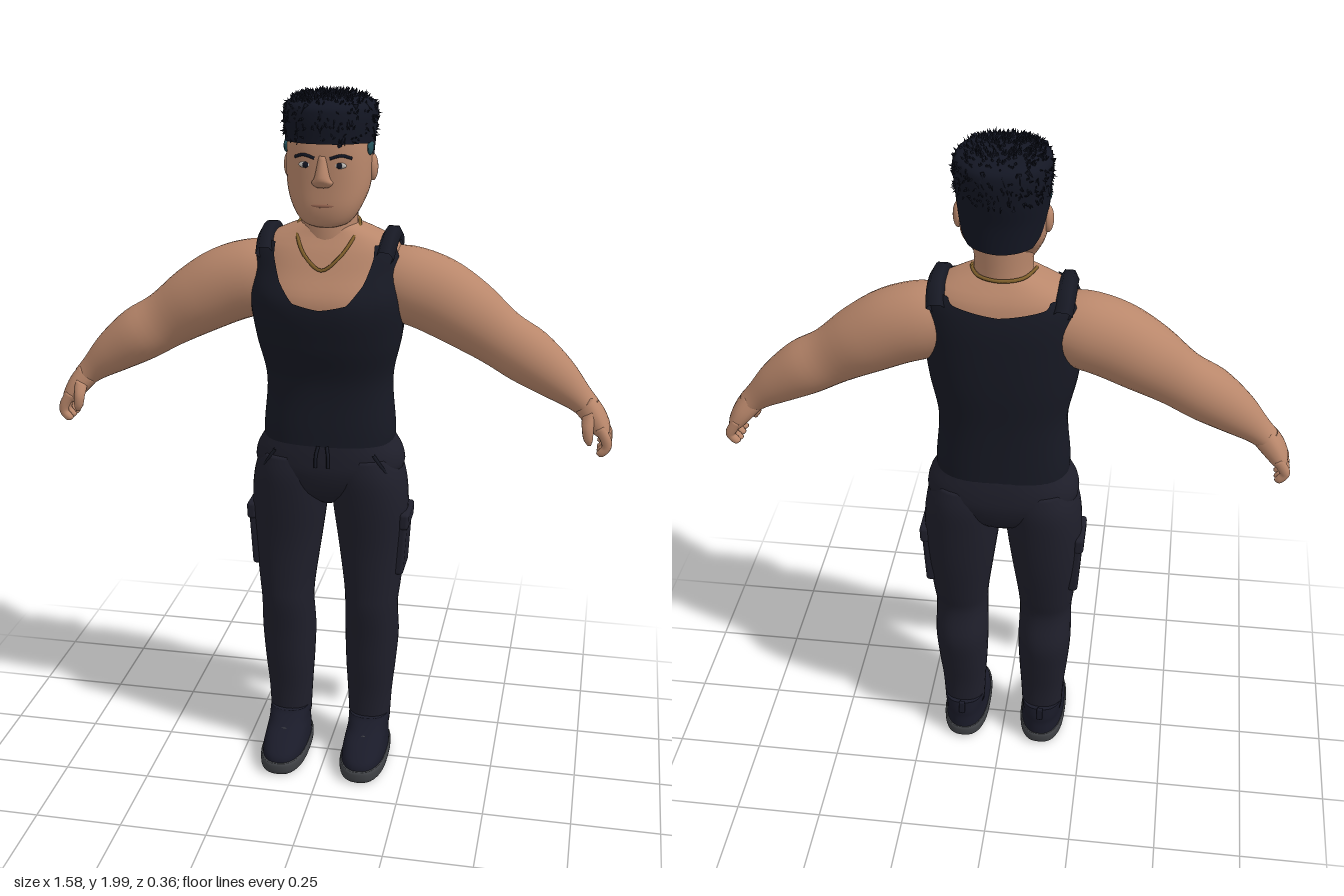
import * as THREE from 'three';
import { mergeGeometries } from 'three/addons/utils/BufferGeometryUtils.js';
import { RoundedBoxGeometry } from 'three/addons/geometries/RoundedBoxGeometry.js';

const mat = (name, color) => new THREE.MeshStandardMaterial({ name, color, side: THREE.DoubleSide });
const M = {
  skin: mat('skin', 0xb9876b), tank: mat('tank fabric', 0x171924), pants: mat('trouser fabric', 0x1f1f2b),
  hair: mat('hair', 0x131623), shoe: mat('shoe fabric', 0x1a1b29), sole: mat('sole rubber', 0x404246),
  gold: mat('gold', 0x80602c), white: mat('eye white', 0xc9c4bf), lip: mat('lip', 0x9a6853), teal: mat('teal', 0x24505a),
};
const RAD = Math.PI / 180;
const pw = (v, n) => Math.sign(v) * Math.abs(v) ** (2 / n);

function mesh(parent, name, geo, material) {
  const m = new THREE.Mesh(geo, material);
  m.name = name;
  parent.add(m);
  return m;
}

// Turns rows of points into a surface closed around, optionally capped at the ends
function skinRows(rows, capped) {
  const k = rows[0].length, pos = rows.flat(2), idx = [];
  for (let i = 0; i < rows.length - 1; i++) for (let j = 0; j < k; j++) {
    const a = i * k + j, b = i * k + (j + 1) % k;
    idx.push(a, b, b + k, a, b + k, a + k);
  }
  if (capped) [0, rows.length - 1].forEach((r) => {
    const c = pos.length / 3;
    for (let d = 0; d < 3; d++) pos.push(rows[r].reduce((s, p) => s + p[d], 0) / k);
    for (let j = 0; j < k; j++) {
      const a = r * k + j, b = r * k + (j + 1) % k;
      if (r) idx.push(a, b, c); else idx.push(b, a, c);
    }
  });
  const g = new THREE.BufferGeometry();
  g.setAttribute('position', new THREE.Float32BufferAttribute(pos, 3));
  g.setIndex(idx);
  g.computeVertexNormals();
  return g;
}

// Loft through sections [x, y, z, half width, half depth, heading in degrees = 90 (up)]
function loft(sections, n = 2, sides = 24, steps = 4) {
  const s = sections.map((q) => [...q.slice(0, 5), q[5] ?? 90]);
  const at = (i) => s[Math.min(Math.max(i, 0), s.length - 1)], rows = [];
  for (let i = 0; i < s.length - 1; i++) {
    for (let e = 0; e < steps + (i === s.length - 2 ? 1 : 0); e++) {
      const t = e / steps;
      const v = s[0].map((_, c) => {
        const [p, a, b, q] = [at(i - 1)[c], at(i)[c], at(i + 1)[c], at(i + 2)[c]];
        return a + 0.5 * t * (b - p + t * (2 * p - 5 * a + 4 * b - q + t * (3 * (a - b) + q - p)));
      });
      const tilt = (v[5] - 90) * RAD;
      rows.push(Array.from({ length: sides }, (_, j) => {
        const w = j / sides * Math.PI * 2, u = v[3] * pw(Math.sin(w), n);
        return [v[0] + u * Math.cos(tilt), v[1] + u * Math.sin(tilt), v[2] + v[4] * pw(Math.cos(w), n)];
      }));
    }
  }
  return skinRows(rows, true);
}

// Smooth lookup in an upright profile of [y, half width, z centre, half depth]
function sample(prof, y) {
  let i = 0;
  while (i < prof.length - 2 && y > prof[i + 1][0]) i++;
  const at = (k) => prof[Math.min(Math.max(k, 0), prof.length - 1)];
  const h = at(i + 1)[0] - at(i)[0], t = (y - at(i)[0]) / h;
  const slope = (k, c) => (at(k + 1)[c] - at(k - 1)[c]) / (at(k + 1)[0] - at(k - 1)[0]);
  return [1, 2, 3].map((c) => at(i)[c] * (1 + 2 * t) * (1 - t) ** 2 + h * slope(i, c) * t * (1 - t) ** 2
    + at(i + 1)[c] * t * t * (3 - 2 * t) + h * slope(i + 1, c) * t * t * (t - 1));
}

// Edge height by angle from the front, mirrored left to right
const edge = (table) => (w) => {
  const d = Math.abs(((w / RAD + 180) % 360) - 180);
  let i = 0;
  while (i < table.length - 2 && d > table[i + 1][0]) i++;
  const [[a, y0], [b, y1]] = [table[i], table[i + 1]];
  return y0 + (y1 - y0) * (d - a) / (b - a);
};

// Shell on a profile, between a lower and an upper edge
function shell(prof, lo, hi, grow, n, sides = 120, count = 36) {
  const rows = [];
  for (let i = 0; i <= count; i++) rows.push(Array.from({ length: sides }, (_, j) => {
    const w = j / sides * Math.PI * 2, y = lo(w) + (hi(w) - lo(w)) * i / count, [a, z, b] = sample(prof, y);
    return [(a + grow) * pw(Math.sin(w), n), y, z + (b + grow) * pw(Math.cos(w), n)];
  }));
  return skinRows(rows, false);
}

const tube = (pts, r, closed = false) => new THREE.TubeGeometry(
  new THREE.CatmullRomCurve3(pts.map((p) => new THREE.Vector3(...p)), closed), closed ? 64 : 12, r, 6, closed);

function blob(parent, name, material, p, s) {
  const m = mesh(parent, name, new THREE.SphereGeometry(1, 20, 12), material);
  m.position.set(...p);
  m.scale.set(...s);
  return m;
}

function block(parent, name, material, size, p, rot = [0, 0, 0]) {
  const m = mesh(parent, name, new RoundedBoxGeometry(...size, 2, Math.min(...size) * 0.35), material);
  m.position.set(...p);
  m.rotation.set(...rot);
  return m;
}

const TORSO = [[1.0, 0.18, -0.04, 0.112], [1.05, 0.183, -0.04, 0.112], [1.2, 0.173, -0.04, 0.115], [1.32, 0.197, -0.028, 0.136],
  [1.44, 0.212, -0.02, 0.146], [1.52, 0.207, -0.036, 0.127], [1.58, 0.195, -0.043, 0.107], [1.61, 0.15, -0.042, 0.088], [1.64, 0.075, -0.035, 0.07]];
const HAIR = [[1.71, 0.1, -0.042, 0.105], [1.8, 0.114, -0.037, 0.117], [1.87, 0.12, -0.042, 0.127],
  [1.935, 0.123, -0.044, 0.13], [1.96, 0.108, -0.044, 0.114], [1.972, 0.06, -0.044, 0.064], [1.975, 0.002, -0.044, 0.002]];

function buildHead(g) {
  mesh(g, 'neck', loft([[0, 1.58, -0.035, 0.085, 0.08], [0, 1.64, -0.032, 0.077, 0.077], [0, 1.73, -0.035, 0.08, 0.075]]), M.skin);
  mesh(g, 'head', loft([[0, 1.637, 0.015, 0.035, 0.035], [0, 1.65, 0.01, 0.066, 0.056], [0, 1.69, 0, 0.093, 0.076], [0, 1.75, -0.025, 0.112, 0.101],
    [0, 1.85, -0.032, 0.112, 0.108], [0, 1.93, -0.035, 0.1, 0.1]], 2.4, 40), M.skin);
  mesh(g, 'nose', loft([[0, 1.748, 0.07, 0.018, 0.012], [0, 1.76, 0.074, 0.029, 0.019], [0, 1.777, 0.076, 0.02, 0.022],
    [0, 1.83, 0.07, 0.01, 0.01]]), M.skin);
  blob(g, 'mouth', M.lip, [0, 1.7, 0.072], [0.033, 0.007, 0.006]);
  for (const s of [-1, 1]) {
    blob(g, 'ear', M.skin, [s * 0.114, 1.785, -0.045], [0.014, 0.036, 0.022]);
    blob(g, 'eye', M.white, [s * 0.046, 1.806, 0.07], [0.018, 0.008, 0.005]);
    blob(g, 'iris', M.hair, [s * 0.045, 1.806, 0.073], [0.008, 0.008, 0.004]);
    mesh(g, 'eyebrow', tube([[s * 0.02, 1.824, 0.074], [s * 0.05, 1.832, 0.071], [s * 0.075, 1.824, 0.058]], 0.0045), M.hair);
    blob(g, 'templePatch', M.teal, [s * 0.112, 1.842, -0.015], [0.008, 0.02, 0.03]);
  }
  // Hair: one shell with a low back, covered in short spikes
  const lo = edge([[0, 1.862], [50, 1.86], [75, 1.855], [86, 1.82], [100, 1.815], [112, 1.76], [130, 1.735], [180, 1.728]]);
  mesh(g, 'hair', shell(HAIR, lo, () => 1.975, 0, 2.2, 72, 40), M.hair);
  let seed = 7;
  const rnd = () => (seed = (seed * 16807) % 2147483647) / 2147483647;
  const cones = [], up = new THREE.Vector3(0, 1, 0);
  for (let i = 0; i < 620; i++) {
    const w = rnd() * Math.PI * 2, top = i < 330, r = Math.sqrt(rnd()) * 0.95, y = 1.865 + rnd() * 0.085;
    const [a, z, b] = top ? [0.118 * r, -0.044, 0.122 * r] : sample(HAIR, y);
    const h = 0.018 + rnd() * 0.014;
    const dir = new THREE.Vector3(Math.sin(w) * (top ? r * 0.6 : 0.45) + rnd() * 0.6 - 0.3,
      top ? 0.9 : rnd() * 1.8 - 0.9, Math.cos(w) * (top ? r * 0.6 : 0.45) + rnd() * 0.6 - 0.3).normalize();
    const c = new THREE.ConeGeometry(0.007, h, 4);
    c.applyQuaternion(new THREE.Quaternion().setFromUnitVectors(up, dir));
    const py = top ? 1.975 - 0.025 * r ** 4 : y;
    cones.push(c.translate(a * pw(Math.sin(w), 2.2) * 0.985, py, z + b * pw(Math.cos(w), 2.2) * 0.985));
  }
  mesh(g, 'hairSpikes', mergeGeometries(cones), M.hair);
}

function buildTorso(g) {
  mesh(g, 'chest', shell(TORSO, () => 1.0, () => 1.64, -0.005, 2.5, 64), M.skin);
  // Vest with scooped neck and open armholes
  const top = edge([[0, 1.43], [15, 1.445], [28, 1.5], [36, 1.56], [40, 1.592], [70, 1.592], [74, 1.49], [82, 1.38], [90, 1.34],
    [99, 1.38], [106, 1.5], [110, 1.592], [140, 1.592], [148, 1.575], [180, 1.555]]);
  mesh(g, 'vest', shell(TORSO, () => 1.022, top, 0.004, 2.5), M.tank);
  for (const s of [-1, 1]) mesh(g, 'shoulderStrap', tube([[s * 0.163, 1.56, 0.05], [s * 0.167, 1.592, 0.005],
    [s * 0.168, 1.602, -0.045], [s * 0.167, 1.592, -0.1], [s * 0.163, 1.56, -0.137]], 0.026), M.tank);
  mesh(g, 'necklace', tube([[0, 1.53, 0.091], [0.045, 1.563, 0.08], [0.077, 1.61, 0.03], [0.082, 1.637, -0.04], [0.055, 1.64, -0.1],
    [0, 1.638, -0.117], [-0.055, 1.64, -0.1], [-0.082, 1.637, -0.04], [-0.077, 1.61, 0.03], [-0.045, 1.563, 0.08]], 0.005, true), M.gold);
  mesh(g, 'hips', loft([[0, 0.825, -0.043, 0.03, 0.05], [0, 0.87, -0.044, 0.12, 0.1], [0, 0.93, -0.044, 0.205, 0.12],
    [0, 0.98, -0.043, 0.211, 0.121], [0, 1.025, -0.041, 0.188, 0.116], [0, 1.04, -0.04, 0.182, 0.112]], 2.4, 48), M.pants);
}

// Left arm and hand, running out from the shoulder
function buildArm(g) {
  mesh(g, 'arm', loft([[0.12, 1.49, -0.045, 0.08, 0.08, -8], [0.2, 1.474, -0.043, 0.104, 0.098, -14], [0.29, 1.445, -0.042, 0.107, 0.099, -26],
    [0.38, 1.395, -0.04, 0.098, 0.092, -33], [0.47, 1.335, -0.036, 0.082, 0.073, -34], [0.55, 1.288, -0.031, 0.079, 0.075, -34],
    [0.63, 1.232, -0.028, 0.062, 0.06, -38], [0.69, 1.182, -0.026, 0.041, 0.043, -44], [0.72, 1.155, -0.025, 0.034, 0.04, -48]], 2, 32), M.skin);
  mesh(g, 'palm', loft([[0.705, 1.17, -0.025, 0.034, 0.038, -46], [0.735, 1.135, -0.024, 0.032, 0.05, -52],
    [0.76, 1.098, -0.023, 0.024, 0.054, -62], [0.768, 1.083, -0.023, 0.012, 0.045, -65]], 2.4), M.skin);
  for (let i = 0; i < 4; i++) {
    const z = -0.065 + i * 0.028, d = i === 0 ? 0.008 : 0;
    mesh(g, 'finger', loft([[0.752, 1.112, z, 0.015, 0.013, -60], [0.772, 1.08, z, 0.015, 0.014, -72], [0.775, 1.056 + d, z, 0.013, 0.013, -100],
      [0.76, 1.039 + d, z, 0.011, 0.012, -150], [0.75, 1.041 + d, z, 0.004, 0.005, -190]], 2, 12), M.skin);
  }
  mesh(g, 'thumb', loft([[0.722, 1.15, 0.005, 0.02, 0.018, -60], [0.722, 1.115, 0.028, 0.016, 0.015, -82],
    [0.725, 1.083, 0.033, 0.013, 0.012, -88], [0.729, 1.065, 0.032, 0.005, 0.005, -88]], 2, 12), M.skin);
}

// Left leg, pocket and shoe
function buildLeg(g) {
  mesh(g, 'trouserLeg', loft([[0.122, 0.105, -0.045, 0.061, 0.06], [0.122, 0.2, -0.046, 0.066, 0.062], [0.124, 0.3, -0.048, 0.074, 0.075],
    [0.126, 0.4, -0.049, 0.079, 0.085], [0.126, 0.5, -0.032, 0.077, 0.081], [0.127, 0.57, -0.037, 0.083, 0.087], [0.124, 0.7, -0.046, 0.098, 0.1],
    [0.118, 0.83, -0.045, 0.109, 0.114], [0.112, 0.92, -0.044, 0.105, 0.12], [0.105, 0.98, -0.042, 0.09, 0.11]], 2.2, 32), M.pants);
  block(g, 'cargoPocket', M.pants, [0.03, 0.18, 0.115], [0.213, 0.705, -0.045], [0, 0, -0.06]);
  block(g, 'pocketFlap', M.pants, [0.028, 0.05, 0.125], [0.223, 0.785, -0.045], [0, 0, -0.03]);
  mesh(g, 'pocketOpening', tube([[0.14, 1.0, 0.055], [0.163, 0.965, 0.051], [0.186, 0.925, 0.035]], 0.005), M.tank);
  mesh(g, 'drawstring', tube([[0.012, 1.025, 0.077], [0.017, 1.0, 0.087], [0.018, 0.965, 0.09]], 0.005), M.tank);
  mesh(g, 'sole', loft([[0.121, 0, 0.022, 0.062, 0.143], [0.121, 0.01, 0.022, 0.069, 0.152], [0.121, 0.032, 0.022, 0.07, 0.153],
    [0.121, 0.04, 0.022, 0.066, 0.149]], 2.6, 36), M.sole);
  mesh(g, 'shoeUpper', loft([[0.121, 0.03, 0.021, 0.066, 0.147], [0.121, 0.055, 0.018, 0.065, 0.142], [0.121, 0.078, 0.0, 0.062, 0.122],
    [0.122, 0.1, -0.027, 0.06, 0.096], [0.122, 0.125, -0.042, 0.061, 0.078], [0.122, 0.138, -0.046, 0.06, 0.072]], 2.4, 36), M.shoe);
  for (let i = 0; i < 3; i++) {
    const z = 0.042 + i * 0.025, y = 0.117 - i * 0.016;
    mesh(g, 'lace', tube([[0.088, y - 0.018, z - 0.012], [0.122, y - 0.003, z], [0.155, y - 0.018, z - 0.012]], 0.004), M.sole);
  }
  block(g, 'heelTab', M.shoe, [0.018, 0.045, 0.012], [0.122, 0.123, -0.122]);
}

export function createModel() {
  const model = new THREE.Group();
  model.name = 'standingMan';
  const add = (name, build, side = 1) => {
    const g = new THREE.Group();
    g.name = name;
    build(g);
    g.scale.x = side;
    model.add(g);
  };
  add('headGroup', buildHead);
  add('torsoGroup', buildTorso);
  for (const [label, side] of [['left', 1], ['right', -1]]) {
    add(label + 'Arm', buildArm, side);
    add(label + 'Leg', buildLeg, side);
  }
  return model;
}
